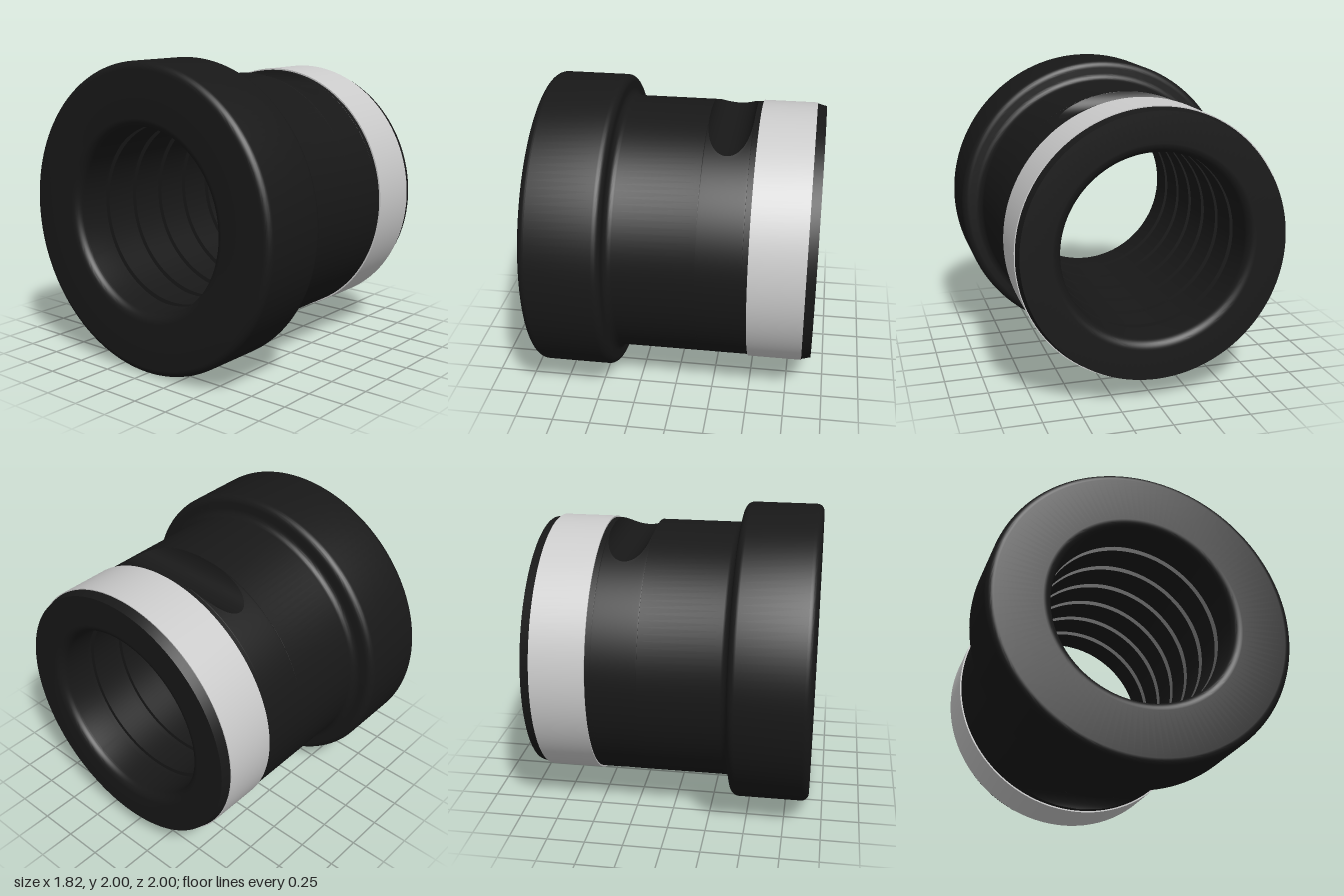
import * as THREE from 'three';
import { toCreasedNormals } from 'three/addons/utils/BufferGeometryUtils.js';

const R = 0.862, BORE = 0.594, HALF = 0.91, SEGMENTS = 128;
// Crosswise cut: a cylinder along z, just above the sleeve surface
const CUT = { x: 0.315, y: 0.873, r: 0.145 };
const CUT_ANGLE = Math.acos((CUT.y - R) / CUT.r);
const CUT_HALF = CUT.r * Math.sin(CUT_ANGLE);

// Profile points are (radius, position along the axis)
const point = (r, x) => new THREE.Vector2(r, x);
function arc(r, x, radius, from, to, steps = 10) {
  return Array.from({ length: steps + 1 }, (_, i) => {
    const a = (from + (to - from) * i / steps) * Math.PI;
    return point(r + radius * Math.cos(a), x + radius * Math.sin(a));
  });
}

function turned(name, profile, material) {
  const geometry = toCreasedNormals(new THREE.LatheGeometry(profile, SEGMENTS), 0.2);
  geometry.rotateZ(-Math.PI / 2);
  const mesh = new THREE.Mesh(geometry, material);
  mesh.name = name;
  return mesh;
}

// Patch across the cut: rule(f, v) gives y and z, f is the cut's height, v runs -1..1
function cutPatch(segmentsV, rule) {
  const geometry = new THREE.PlaneGeometry(2, 2, 32, segmentsV);
  const p = geometry.attributes.position;
  for (let i = 0; i < p.count; i++) {
    const t = p.getX(i) * CUT_ANGLE;
    const f = Math.min(R, CUT.y - CUT.r * Math.cos(t));
    const [y, z] = rule(f, p.getY(i));
    p.setXYZ(i, CUT.x + CUT.r * Math.sin(t), y, z);
  }
  geometry.computeVertexNormals();
  return geometry;
}

export function createModel() {
  const black = new THREE.MeshStandardMaterial({ color: 0x181818 });
  const grey = new THREE.MeshStandardMaterial({ color: 0xcccccc });
  const model = new THREE.Group();
  model.name = 'flangedBushing';

  // Sleeve: chamfered end, grooved bore, rounded flange, fillet back to the sleeve
  const mouth = 0.06, round = 0.05, flangeEnd = -0.395;
  const profile = [
    point(R, CUT.x + CUT_HALF), point(R, 0.5), point(R, 0.85),
    point(0.866, 0.85), point(0.85, HALF),
    ...arc(BORE + mouth, HALF - mouth, mouth, 0.5, 1),
  ];
  for (let i = 0; i < 6; i++) {
    const c = 0.64 - i * 0.256, w = 0.025, deep = BORE + 0.03;
    profile.push(point(BORE, c + w), point(deep, c + w), point(deep, c - w), point(BORE, c - w));
  }
  profile.push(
    ...arc(BORE + mouth, -HALF + mouth, mouth, 1, 1.5),
    ...arc(1 - round, -HALF + round, round, -0.5, 0),
    ...arc(1 - round, flangeEnd - round, round, 0, 0.5),
    ...arc(R + round, flangeEnd + round, round, -0.5, -1),
    point(R, CUT.x - CUT_HALF),
  );
  model.add(turned('sleeve', profile, black));

  // Raised band
  model.add(turned('band', [
    point(R - 0.005, 0.495), point(0.872, 0.495), point(0.872, 0.85), point(R - 0.005, 0.85),
  ], grey));

  // Top and bottom cuts, with the sleeve wall that remains in front and behind
  const floor = cutPatch(24, (f, v) => [f, -v * Math.sqrt(Math.max(0, R * R - f * f))]);
  const wall = cutPatch(SEGMENTS / 2, (f, v) => {
    const a = v * Math.asin(f / R);
    return [R * Math.sin(a), R * Math.cos(a)];
  });
  const halves = [['topCut', floor, 0], ['bottomCut', floor, Math.PI],
    ['frontWall', wall, 0], ['backWall', wall, Math.PI]];
  for (const [name, geometry, turn] of halves) {
    const mesh = new THREE.Mesh(geometry, black);
    mesh.name = name;
    mesh.rotation.x = turn;
    model.add(mesh);
  }

  // Rest the flange on the ground
  for (const part of model.children) part.position.y = 1;
  return model;
}
